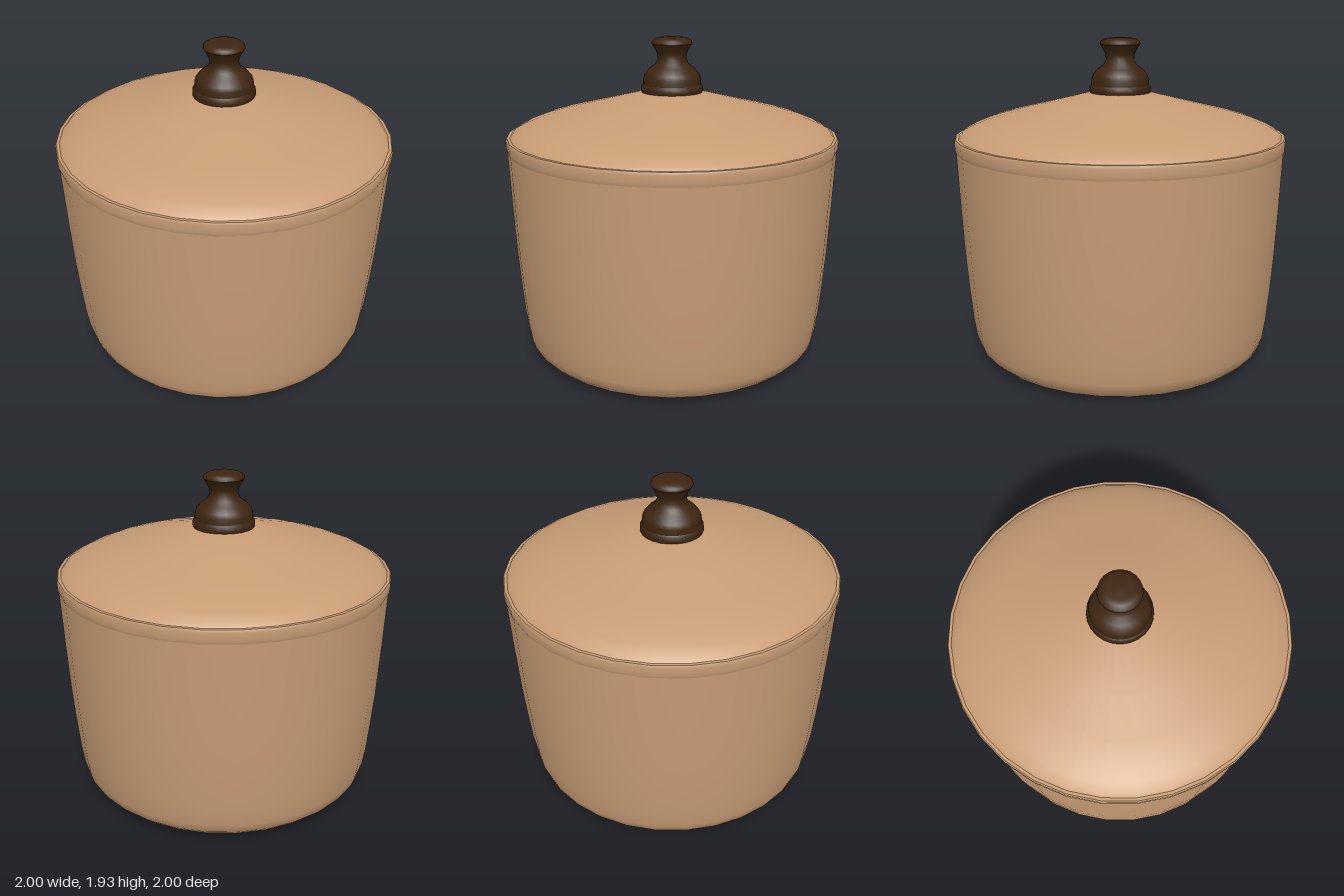
import * as THREE from 'three';

const tan = new THREE.MeshStandardMaterial({ color: 0xc79c74 });
tan.name = 'tanEnamel';
const wood = new THREE.MeshStandardMaterial({ color: 0x3d2510 });
wood.name = 'darkWood';

// Turned part; each run is a smooth profile of [radius, y], with a crease between runs
function turned(name, material, segments, runs) {
  const part = new THREE.Group();
  part.name = name;
  runs.forEach((run, i) => {
    const points = run.map(([r, y]) => new THREE.Vector2(r, y));
    const mesh = new THREE.Mesh(new THREE.LatheGeometry(points, segments), material);
    mesh.name = name + 'Surface' + (i + 1);
    part.add(mesh);
  });
  return part;
}

export function createModel() {
  const model = new THREE.Group();
  model.name = 'lidded pot';

  // Pot: flat base, rounded foot, flaring wall, rim and hollow inside
  model.add(turned('pot', tan, 32, [
    [[0, 0], [0.6, 0.008], [0.78, 0.018]],
    [[0.78, 0.018], [0.865, 0.04], [0.9, 0.075], [0.918, 0.13], [0.935, 0.25],
      [0.952, 0.45], [0.966, 0.65], [0.98, 0.95], [0.992, 1.28]],
    [[0.992, 1.28], [0.998, 1.3], [1, 1.345], [0.993, 1.36]],
    [[0.993, 1.36], [0.95, 1.36]],
    [[0.95, 1.36], [0.92, 0.65], [0.87, 0.15], [0.8, 0.07], [0, 0.06]],
  ]));

  // Lid: underside, then a shallow dome rising to the knob
  model.add(turned('lid', tan, 32, [
    [[0, 1.57], [0.2, 1.57], [0.8, 1.41], [0.98, 1.355]],
    [[0.98, 1.355], [0.955, 1.383], [0.9, 1.413], [0.81, 1.449], [0.7, 1.482],
      [0.45, 1.543], [0.19, 1.608], [0, 1.615]],
  ]));

  // Knob: stepped collar, bulging foot, narrow neck and flat cap
  model.add(turned('knob', wood, 24, [
    [[0, 1.6], [0.18, 1.6]],
    [[0.18, 1.6], [0.187, 1.62], [0.185, 1.645], [0.175, 1.655]],
    [[0.175, 1.655], [0.173, 1.69], [0.165, 1.715], [0.135, 1.75], [0.1, 1.775],
      [0.085, 1.805], [0.088, 1.835], [0.105, 1.87], [0.122, 1.895]],
    [[0.122, 1.895], [0.118, 1.912], [0.095, 1.926], [0.07, 1.932], [0, 1.934]],
  ]));

  return model;
}
